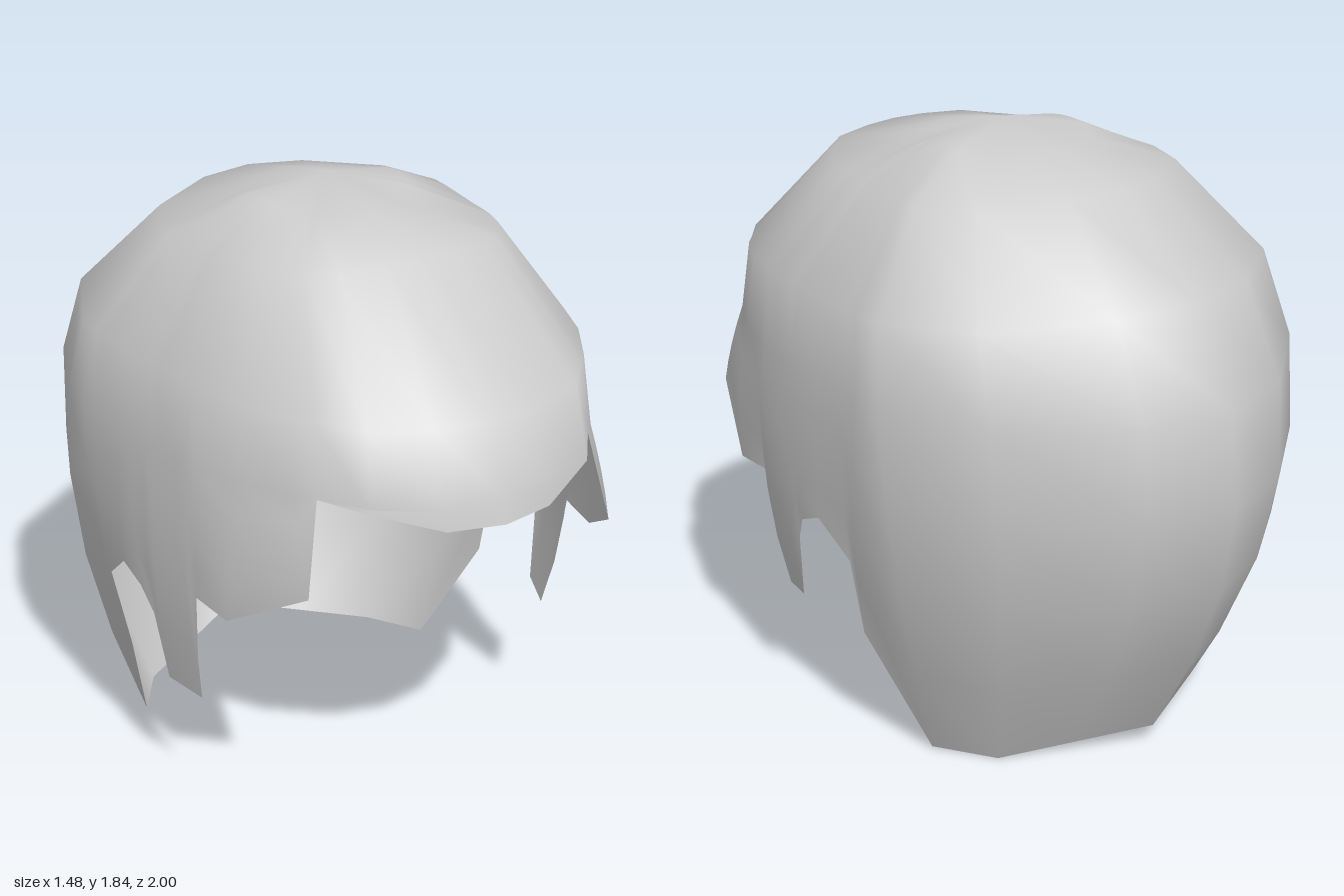
import * as THREE from 'three';
import { mergeVertices } from 'three/addons/utils/BufferGeometryUtils.js';

const BROW_Y = 1.175;

// Half the hair, front to back: hem point x, y, z, then brow ring x, z of the same strand
const STRANDS = [
  [0, 1.1, 1, 0, 0.975],
  [0.17, 1.1, 0.96, 0.17, 0.945],
  [0.36, 1.16, 0.87, 0.36, 0.865],
  [0.455, 1.175, 0.74, 0.455, 0.74],
  [0.51, 0.9, 0.79, 0.5, 0.69],
  [0.635, 0.745, 0.53, 0.595, 0.53],
  [0.655, 0.755, 0.38, 0.652, 0.38],   // sideburn lock
  [0.64, 0.53, 0.35, 0.661, 0.35],
  [0.615, 0.375, 0.32, 0.671, 0.31],
  [0.66, 0.395, 0.19, 0.694, 0.2],
  [0.69, 0.61, 0.16, 0.701, 0.16],     // ear notch
  [0.71, 0.69, 0.115, 0.711, 0.1],
  [0.72, 0.73, 0.02, 0.722, 0.01],
  [0.705, 0.63, -0.11, 0.734, -0.13],
  [0.65, 0.37, -0.1, 0.738, -0.19],
  [0.53, 0.005, -0.27, 0.737, -0.3],   // nape
  [0.42, 0, -0.45, 0.61, -0.63],
  [0.21, 0.03, -0.57, 0.27, -0.9],
  [0, 0.06, -0.69, 0, -0.97],
];

// Dome rings: [height, reach] at the front, side and back,
// with the change in height and the widening between front or back and side
const DOME = [
  { front: [1.79, 0.25], side: [1.8, 0.25], back: [1.785, 0.25], lift: -0.02, widen: 0 },
  { front: [1.73, 0.53], side: [1.69, 0.48], back: [1.72, 0.51], lift: 0, widen: 0.07 },
  { front: [1.37, 0.91], side: [1.41, 0.7], back: [1.46, 0.83], lift: 0, widen: 0.025 },
];
const WALL_STEPS = 4;

// One strand from the crown down to the hem
function strandPoints([hx, hy, hz, bx, bz]) {
  const points = [[0, 1.84, 0]];
  const end = bz > 0 ? 'front' : 'back';
  const reach = bz > 0 ? 0.975 : 0.97;
  const u = (bz / reach) ** 2;
  const diagonal = 4 * u * (1 - u);
  for (const ring of DOME) {
    const y = THREE.MathUtils.lerp(ring.side[0], ring[end][0], u) + ring.lift * diagonal;
    const wide = bz > 0 ? 1 + ring.widen * diagonal : 1;
    points.push([bx * wide * ring.side[1] / 0.74, y, bz * wide * ring[end][1] / reach]);
  }
  // The wall below the brow bulges more the further it drops
  const drop = BROW_Y - hy;
  for (let k = 0; k <= WALL_STEPS; k++) {
    const t = k / WALL_STEPS;
    const bulge = 4 * t * (1 - t) * drop * drop;
    points.push([
      THREE.MathUtils.lerp(bx, hx, t) * (1 + 0.07 * bulge),
      THREE.MathUtils.lerp(BROW_Y, hy, t),
      THREE.MathUtils.lerp(bz, hz, t) * (1 + 0.12 * bulge),
    ]);
  }
  return points;
}

function hairGeometry() {
  const half = STRANDS.map(strandPoints);
  // Mirror the inner strands to close the loop
  const mirrored = half.slice(1, -1).reverse()
    .map((strand) => strand.map(([x, y, z]) => [-x, y, z]));
  const loop = [...half, ...mirrored];
  const rows = half[0].length;
  const index = [];
  loop.forEach((_, i) => {
    const a = i * rows;
    const b = ((i + 1) % loop.length) * rows;
    for (let r = 0; r < rows - 1; r++) {
      index.push(a + r, a + r + 1, b + r + 1);
      if (r > 0) index.push(a + r, b + r + 1, b + r);
    }
  });
  const geometry = new THREE.BufferGeometry();
  geometry.setAttribute('position', new THREE.Float32BufferAttribute(loop.flat(2), 3));
  geometry.setIndex(index);
  const merged = mergeVertices(geometry, 1e-4);
  merged.computeVertexNormals();
  return merged;
}

export function createModel() {
  const group = new THREE.Group();
  group.name = 'hairpiece';
  const material = new THREE.MeshStandardMaterial({ color: 0xcccccc, side: THREE.DoubleSide });
  const hair = new THREE.Mesh(hairGeometry(), material);
  hair.name = 'hairShell';
  group.add(hair);
  return group;
}
